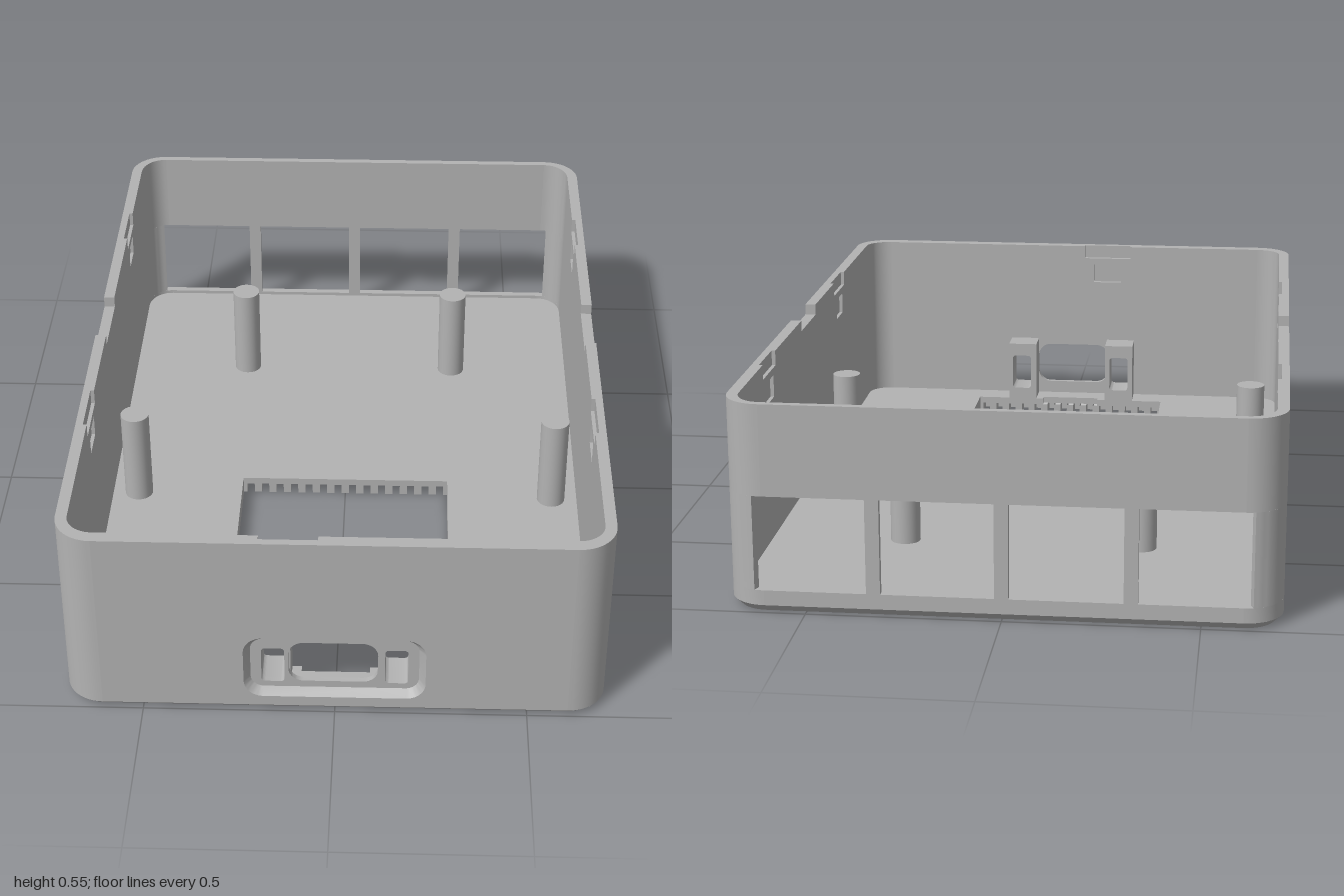
import * as THREE from 'three';
import { toCreasedNormals } from 'three/addons/utils/BufferGeometryUtils.js';

const X = 0.705, Z = 1, R = 0.1, H = 0.55, Y0 = 0.02; // half sizes, corner radius, wall top and bottom
const T = 0.03, TF = 0.035, TB = 0.02;                // side, front and back wall thickness
const V = (x, y) => new THREE.Vector2(x, y);

// Counter-clockwise rounded rectangle outline
function rrect(x0, x1, y0, y1, r = 0, n = 10) {
  if (!r) return [V(x0, y0), V(x1, y0), V(x1, y1), V(x0, y1)];
  const pts = [];
  [[x1 - r, y0 + r, -1], [x1 - r, y1 - r, 0], [x0 + r, y1 - r, 1], [x0 + r, y0 + r, 2]].forEach(([cx, cy, q]) => {
    for (let i = 0; i <= n; i++) {
      const a = (q + i / n) * Math.PI / 2;
      pts.push(V(cx + r * Math.cos(a), cy + r * Math.sin(a)));
    }
  });
  return pts;
}

function slab(pts, depth, holes = []) {
  const s = new THREE.Shape(pts);
  s.holes = holes.map((h) => new THREE.Path(h));
  return toCreasedNormals(new THREE.ExtrudeGeometry(s, { depth, bevelEnabled: false }), 0.5);
}

// Band of faces joining two outlines with the same number of points
function band(a, za, b, zb) {
  const p = [];
  a.forEach((_, i) => {
    const j = (i + 1) % a.length;
    const A = [a[i].x, a[i].y, za], B = [a[j].x, a[j].y, za], C = [b[j].x, b[j].y, zb], D = [b[i].x, b[i].y, zb];
    p.push(...A, ...B, ...C, ...A, ...C, ...D);
  });
  const g = new THREE.BufferGeometry();
  g.setAttribute('position', new THREE.Float32BufferAttribute(p, 3));
  g.computeVertexNormals();
  return toCreasedNormals(g, 0.5);
}

export function createModel() {
  const model = new THREE.Group();
  const grey = new THREE.MeshStandardMaterial({ color: 0xb3b3b3, side: THREE.DoubleSide });
  grey.name = 'casing grey';
  const add = (name, geo, x = 0, y = 0, z = 0) => {
    const m = new THREE.Mesh(geo, grey);
    m.name = name;
    m.position.set(x, y, z);
    model.add(m);
    return m;
  };
  const box = (name, x0, x1, y0, y1, z0, z1) =>
    add(name, new THREE.BoxGeometry(x1 - x0, y1 - y0, z1 - z0), (x0 + x1) / 2, (y0 + y1) / 2, (z0 + z1) / 2);
  const flat = (g) => g.rotateX(-Math.PI / 2); // plan outline (x, -z) laid on the ground

  // Floor: vent opening with grooves cut into the underside at both ends
  const comb = [], back = [], n = 14, p = 0.6 / n;
  for (let i = 0; i < n; i++) {
    const a = -0.3 + p * (i + 0.25), b = a + p / 2;
    comb.push(V(a, -0.88), V(a, -0.94), V(b, -0.94), V(b, -0.88));
    back.push(V(a, -0.05), V(a, 0.01), V(b, 0.01), V(b, -0.05));
  }
  const vent = [V(-0.3, -0.88), ...comb, V(0.3, -0.88), V(0.3, -0.05), ...back.reverse(), V(-0.3, -0.05)];
  const c = 0.02, low = rrect(-X + c, X - c, -Z + c, Z - c, R - c), full = rrect(-X, X, -Z, Z, R);
  add('floorUnderside', flat(slab(low, 0.002, [vent])));
  add('bottomChamfer', flat(band(low, 0, full, Y0)));
  const rim = [...vent].reverse();
  add('ventGrooves', flat(band(rim, 0, rim, 0.03)));
  const opening = [V(-0.3, -0.88), V(-0.09, -0.88), V(-0.09, -0.9), V(0.09, -0.9), V(0.09, -0.88),
    V(0.3, -0.88), V(0.3, -0.05), V(-0.3, -0.05)];
  add('floor', flat(slab(rrect(-X + 0.01, X - 0.01, -Z + 0.01, Z - 0.01, R - 0.01), 0.02, [opening])), 0, 0.03);

  // Rounded wall corners; from is the angle, measured from the end wall, where the arc begins
  const corner = (sx, sz, t, y0, y1, from = 0) => {
    const outer = [], inner = [];
    for (let i = 0; i <= 12; i++) {
      const a = from + (Math.PI / 2 - from) * i / 12, s = Math.sin(a), k = Math.cos(a);
      outer.push(V(sx * (X - R + R * s), -sz * (Z - R + R * k)));
      inner.unshift(V(sx * (X - R + (R - T) * s), -sz * (Z - R + (R - t) * k)));
    }
    add('wallCorner', flat(slab([...outer, ...inner], y1 - y0)), 0, y0);
  };
  const W0 = 0.06, W1 = 0.31; // bottom and top of the back ports
  for (const s of [-1, 1]) {
    corner(s, 1, TF, Y0, H);
    corner(s, -1, TB, Y0, W0);
    corner(s, -1, TB, W0, W1, 0.25);
    corner(s, -1, TB, W1, H);
  }

  // Back wall: four port openings between slim bars
  const E = X - R;
  box('backWallSill', -E, E, Y0, W0, -Z, -Z + TB);
  box('backWallTop', -E, E, W1, H, -Z, -Z + TB);
  for (const x of [-0.325, 0, 0.325]) box('portBar', x - 0.018, x + 0.018, W0, W1, -Z, -Z + TB);

  // Side walls: outer skin, and inner skin with latch slots (outline runs along -z)
  const notch = [V(0.14, H), V(0.14, 0.52), V(-0.06, 0.52), V(-0.06, H)];
  const slot = (a, b) => [V(b, H), V(b, 0.51), V(a, 0.51), V(a, H)];
  const ends = (mid) => [V(-0.9, Y0), V(0.9, Y0), V(0.9, H), ...mid, V(-0.9, H)];
  const skin = slab(ends(notch), 0.02).rotateY(Math.PI / 2);
  const lining = slab(ends([...slot(0.48, 0.63), ...notch, ...slot(-0.5, -0.34)]), 0.01,
    [rrect(0.51, 0.6, 0.43, 0.49), rrect(-0.465, -0.375, 0.43, 0.49)]).rotateY(Math.PI / 2);
  for (const s of [-1, 1]) {
    add('sideWall', skin, s > 0 ? X - 0.02 : -X);
    add('sideWallLining', lining, s > 0 ? X - T : -X + 0.02);
  }

  // Front wall: bevelled connector recess, connector openings and one latch slot
  const wide = rrect(-0.235, 0.235, 0.05, 0.245, 0.05), narrow = rrect(-0.218, 0.218, 0.068, 0.228, 0.035);
  const slots = [rrect(-0.19, -0.13, 0.085, 0.195, 0.01), rrect(0.13, 0.19, 0.085, 0.195, 0.01)];
  add('frontWall', slab(rrect(-E, E, Y0, H), 0.02, [wide]), 0, 0, Z - 0.02);
  add('recessBevel', band([...narrow].reverse(), Z - 0.02, [...wide].reverse(), Z));
  add('frontWallLining', slab([V(-E, Y0), V(E, Y0), V(E, H), ...slot(-0.19, -0.04), V(-E, H)], 0.015,
    [rrect(-0.12, 0.112, 0.088, 0.216, 0.04), ...slots, rrect(-0.16, -0.07, 0.43, 0.49)]), 0, 0, Z - TF);

  // Hollow brackets behind the connector openings
  for (const s of [0, 1]) {
    const x0 = s ? 0.112 : -0.205;
    add('connectorBracket', slab(rrect(x0, x0 + 0.09, 0.05, 0.235), 0.085, [slots[s]]), 0, 0, 0.88);
  }

  // Board posts
  for (const [x, z] of [[-0.325, -0.55], [0.315, -0.55], [-0.6, 0.125], [0.6, 0.125]])
    add('boardPost', new THREE.CylinderGeometry(0.04, 0.04, 0.28, 32), x, 0.185, z);

  return model;
}
